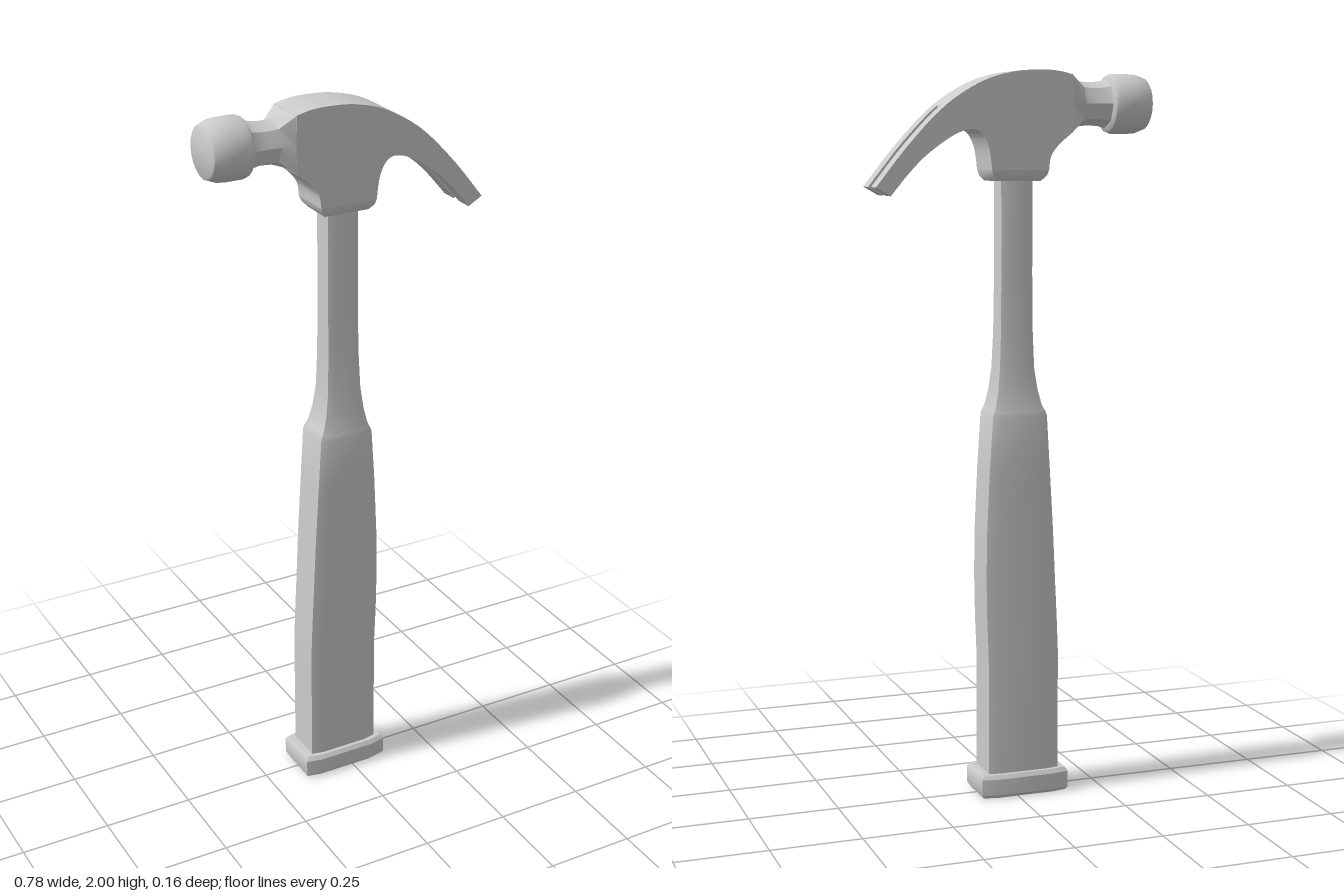
import * as THREE from 'three';
import { toCreasedNormals } from 'three/addons/utils/BufferGeometryUtils.js';

const material = new THREE.MeshStandardMaterial({ color: 0xcccccc });

function addMesh(group, name, geometry, crease = 0.6) {
  const mesh = new THREE.Mesh(toCreasedNormals(geometry, crease), material);
  mesh.name = name;
  group.add(mesh);
  return mesh;
}

// Skin closed rings of [x, y, z] points and cap both ends
function loft(rings) {
  const n = rings[0].length;
  const index = [];
  const last = (rings.length - 1) * n;
  for (let i = 0; i < rings.length - 1; i++) {
    for (let j = 0; j < n; j++) {
      const a = i * n + j, b = i * n + (j + 1) % n;
      index.push(a, b, b + n, a, b + n, a + n);
    }
  }
  for (let j = 1; j < n - 1; j++) {
    index.push(0, j + 1, j, last, last + j, last + j + 1);
  }
  const geometry = new THREE.BufferGeometry();
  geometry.setAttribute('position', new THREE.Float32BufferAttribute(rings.flat(2), 3));
  geometry.setIndex(index);
  return geometry;
}

// Horizontal section: a rectangle with shallow chamfers on its broad faces
function section([y, x0, x1, z]) {
  const c = (x1 - x0) * 0.17, e = z * 0.88;
  return [
    [x1, e], [x1, -e], [x1 - c, -z], [x0 + c, -z],
    [x0, -e], [x0, e], [x0 + c, z], [x1 - c, z],
  ].map(([x, zz]) => [x, y, zz]);
}

const v2 = (points) => points.map(([x, y]) => new THREE.Vector2(x, y));

// Side outline of the head from the neck joint, cut short at the slot if asked
function headShape(cut) {
  const top = new THREE.SplineCurve(v2([
    [-0.16, 1.988], [-0.12, 1.997], [-0.07, 2.0], [0.01, 1.994], [0.1, 1.967],
    [0.2, 1.905], [0.3, 1.805], [0.392, 1.692],
  ])).getPoints(42);
  const under = new THREE.SplineCurve(v2([
    [0.352, 1.669], [0.3, 1.73], [0.25, 1.778], [0.18, 1.826], [0.13, 1.843],
    [0.1, 1.833], [0.08, 1.795], [0.071, 1.735],
  ])).getPoints(42);
  const back = new THREE.SplineCurve(v2([
    [-0.091, 1.735], [-0.097, 1.772], [-0.12, 1.803], [-0.16, 1.836],
  ])).getPoints(12);
  const claw = [...top, ...under].filter((p) => p.x <= cut);
  return new THREE.Shape([...claw, ...back].reverse());
}

export function createModel() {
  const model = new THREE.Group();
  model.name = 'clawHammer';

  // Handle: [height, left x, right x, half depth]
  addMesh(model, 'buttCap', loft([
    [0, -0.145, 0.098, 0.07], [0.01, -0.15, 0.104, 0.078],
    [0.055, -0.15, 0.104, 0.078], [0.066, -0.143, 0.097, 0.07],
  ].map(section)));
  addMesh(model, 'grip', loft([
    [0.06, -0.125, 0.08, 0.06], [0.4, -0.125, 0.08, 0.06],
    [0.5, -0.121, 0.084, 0.06], [0.62, -0.115, 0.086, 0.06],
    [0.75, -0.109, 0.084, 0.06], [0.92, -0.099, 0.076, 0.06],
    [1.07, -0.09, 0.066, 0.06], [1.085, -0.085, 0.061, 0.056],
  ].map(section)));
  addMesh(model, 'shaft', loft([
    [1.08, -0.086, 0.062, 0.057], [1.1, -0.077, 0.055, 0.052],
    [1.14, -0.067, 0.047, 0.046], [1.2, -0.059, 0.04, 0.04],
    [1.3, -0.056, 0.036, 0.036], [1.45, -0.055, 0.034, 0.034],
    [1.74, -0.055, 0.034, 0.033],
  ].map(section)));

  // Head: two cheeks that run out into the claws, and a core that stops at the slot
  const halfDepth = 0.062, halfSlot = 0.013;
  const slab = (cut, depth) => new THREE.ExtrudeGeometry(headShape(cut), { depth, bevelEnabled: false });
  for (const [name, z] of [['leftCheek', halfSlot], ['rightCheek', -halfDepth]]) {
    addMesh(model, name, slab(1, halfDepth - halfSlot)).position.z = z;
  }
  addMesh(model, 'headCore', slab(0.215, halfSlot * 2)).position.z = -halfSlot;

  // Socket collar under the head
  const collar = ([y, x0, x1, z]) => [[x1, z], [x1, -z], [x0, -z], [x0, z]].map(([x, zz]) => [x, y, zz]);
  addMesh(model, 'socketCollar', loft([
    [1.735, -0.091, 0.071, 0.062], [1.72, -0.086, 0.067, 0.058], [1.706, -0.073, 0.055, 0.047],
  ].reverse().map(collar)));

  // Neck: an eight-sided bar that squares off where it meets the head
  const axisY = 1.912;
  const octagon = (x, r) => Array.from({ length: 8 }, (_, i) => {
    const a = i * Math.PI / 4;
    return [x, axisY + r * Math.cos(a), r * Math.sin(a)];
  });
  const square = (x, y0, y1, z) => [
    [1, 0], [1, 1], [0, 1], [-1, 1], [-1, 0], [-1, -1], [0, -1], [1, -1],
  ].map(([u, w]) => [x, (y0 + y1) / 2 + u * (y1 - y0) / 2, w * z]);
  addMesh(model, 'neck', loft([
    octagon(-0.29, 0.072), octagon(-0.275, 0.065), octagon(-0.255, 0.06),
    octagon(-0.23, 0.058), octagon(-0.2, 0.06), square(-0.158, 1.836, 1.988, halfDepth),
  ]), 0.5);

  // Striking face, turned about the x axis
  const face = new THREE.LatheGeometry(v2([
    [0, -0.392], [0.064, -0.392], [0.07, -0.388], [0.079, -0.365], [0.081, -0.34],
    [0.081, -0.293], [0.077, -0.283], [0.066, -0.276], [0, -0.276],
  ]), 20);
  face.rotateZ(-Math.PI / 2).translate(0, axisY, 0);
  addMesh(model, 'strikingFace', face);

  return model;
}
